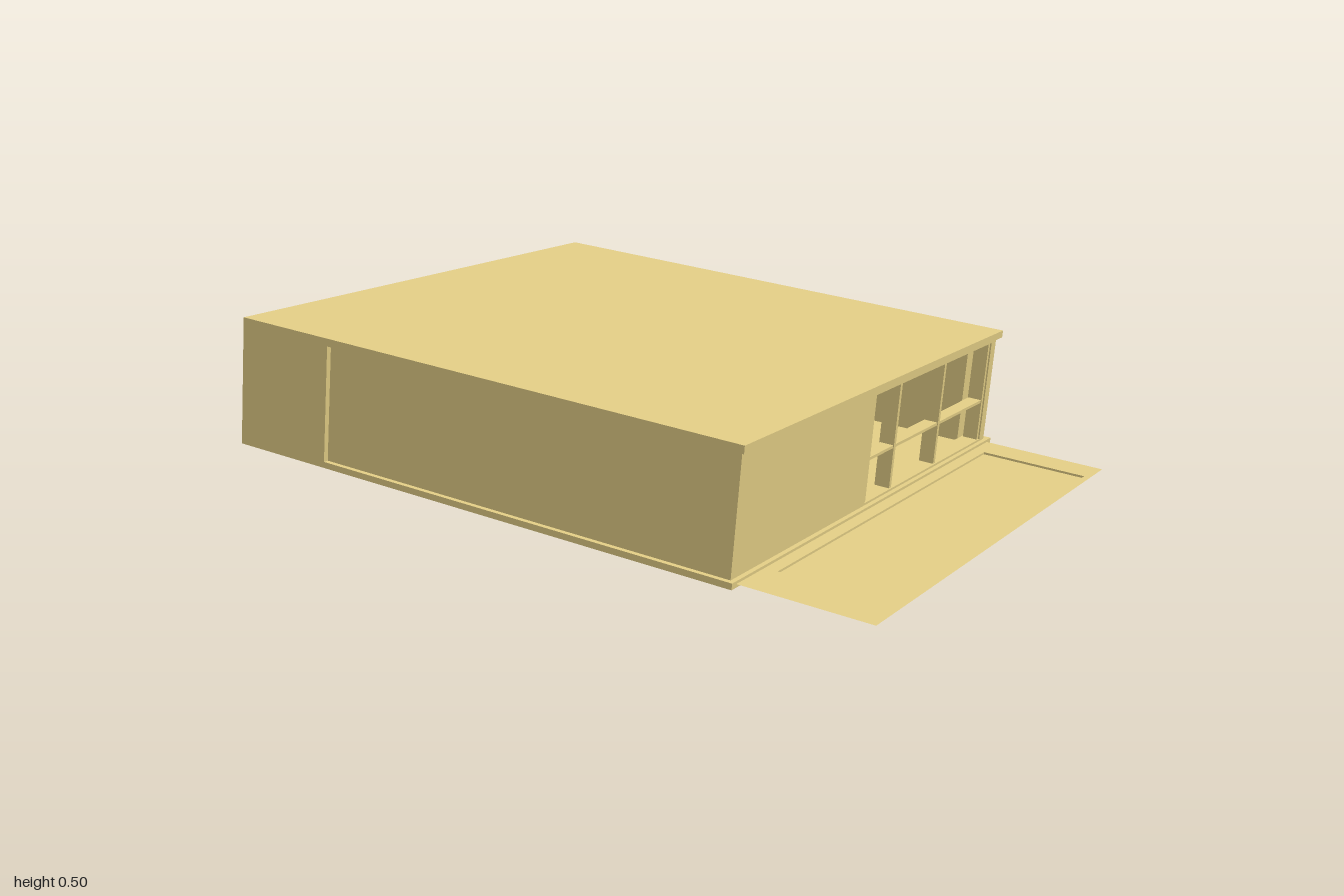
import * as THREE from 'three';

const material = new THREE.MeshStandardMaterial({ color: 0xe0cb84, side: THREE.DoubleSide });

// House size in its own frame: front edge at z = 0, back at z = -D
const W = 0.742, H = 0.337, D = 1.47, FLOOR = 0.016, CEIL = 0.317;

function add(parent, name, geometry) {
  const mesh = new THREE.Mesh(geometry, material);
  mesh.name = name;
  parent.add(mesh);
  return mesh;
}

// Box given by its limits on each axis
function block(parent, name, [x0, x1], [y0, y1], [z0, z1]) {
  const mesh = add(parent, name, new THREE.BoxGeometry(x1 - x0, y1 - y0, z1 - z0));
  mesh.position.set((x0 + x1) / 2, (y0 + y1) / 2, (z0 + z1) / 2);
  return mesh;
}

function rectangle(Type, x0, x1, y0, y1) {
  return new Type([[x0, y0], [x1, y0], [x1, y1], [x0, y1]].map(([x, y]) => new THREE.Vector2(x, y)));
}

function buildShell(house) {
  block(house, 'floorSlab', [-W, 0.754], [0, FLOOR], [-D, 0]);
  block(house, 'roofSlab', [-W, W], [CEIL, H], [-D, 0]);
  block(house, 'backWall', [-W, W], [FLOOR, CEIL], [-D, -D + 0.06]);
  block(house, 'innerWall', [-0.7, 0.66], [FLOOR, CEIL], [-1.23, -1.19]);

  // Left wall: flush at the back, set in along the rest
  block(house, 'leftRearWall', [-W, -0.66], [FLOOR, CEIL], [-D + 0.06, -1.19]);
  block(house, 'leftWall', [-0.728, -0.66], [FLOOR, CEIL], [-1.19, -0.062]);
}

function buildFront(house) {
  // Front wall with a wide window opening
  const x0 = -0.05, x1 = 0.697, y0 = 0.022, y1 = 0.306, back = -0.062, depth = 0.05;
  const wall = rectangle(THREE.Shape, -0.728, 0.728, FLOOR, CEIL);
  wall.holes.push(rectangle(THREE.Path, x0, x1, y0, y1));
  add(house, 'frontWall', new THREE.ExtrudeGeometry(wall, { depth, bevelEnabled: false }))
    .position.z = back;

  // Window bars
  for (const x of [x0 + 0.005, 0.108, 0.388, x1 - 0.005]) {
    block(house, 'windowMullion', [x - 0.006, x + 0.006], [y0, y1], [back + 0.004, back + depth - 0.004]);
  }
  block(house, 'windowTransom', [x0, x1], [0.131, 0.139], [back + 0.006, back + depth - 0.006]);
}

function buildRightWall(house) {
  // Each bay: start and end depth from the front, outer face
  const bays = [
    ['rightFrontPanel', 0.062, 0.53, 0.726],
    ['rightPier', 0.53, 0.57, 0.736],
    ['rightPier', 0.82, 0.86, 0.736],
    ['rightMiddlePanel', 0.86, 1.11, 0.7],
    ['rightPier', 1.11, 1.21, 0.736],
    ['rightRearPanel', 1.21, D - 0.06, 0.728],
  ];
  for (const [name, d0, d1, outer] of bays) {
    block(house, name, [0.655, outer], [FLOOR, 0.308], [-d1, -d0]);
  }
  block(house, 'rightLintel', [0.655, 0.736], [0.308, CEIL], [-D + 0.06, -0.062]);
}

function buildTerrace(house) {
  // Thin terrace sheet around a shallow sunken basin
  const top = 0.009, bottom = 0.001;
  const a = [-0.591, 0.63], b = [0.032, 0.329];
  const sheet = rectangle(THREE.Shape, -0.722, 0.728, -0.345, 0.02);
  sheet.holes.push(rectangle(THREE.Path, a[0], a[1], -b[1], -b[0]));
  const terrace = add(house, 'terrace', new THREE.ShapeGeometry(sheet));
  terrace.rotation.x = -Math.PI / 2;
  terrace.position.y = top;

  block(house, 'basinFloor', a, [bottom, bottom + 0.002], b);
  for (const x of a) block(house, 'basinSide', [x - 0.001, x + 0.001], [bottom, top], b);
  for (const z of b) block(house, 'basinSide', a, [bottom, top], [z - 0.001, z + 0.001]);
}

export function createModel() {
  const model = new THREE.Group();
  model.name = 'flatRoofHouse';

  // The whole house is turned and tilted, its back raised
  const house = new THREE.Group();
  house.name = 'house';
  house.rotation.set(0.093, 0.142, 0, 'YXZ');
  house.position.set(0.0805, 0.0295, 0.554);
  model.add(house);

  buildShell(house);
  buildFront(house);
  buildRightWall(house);
  buildTerrace(house);
  return model;
}
